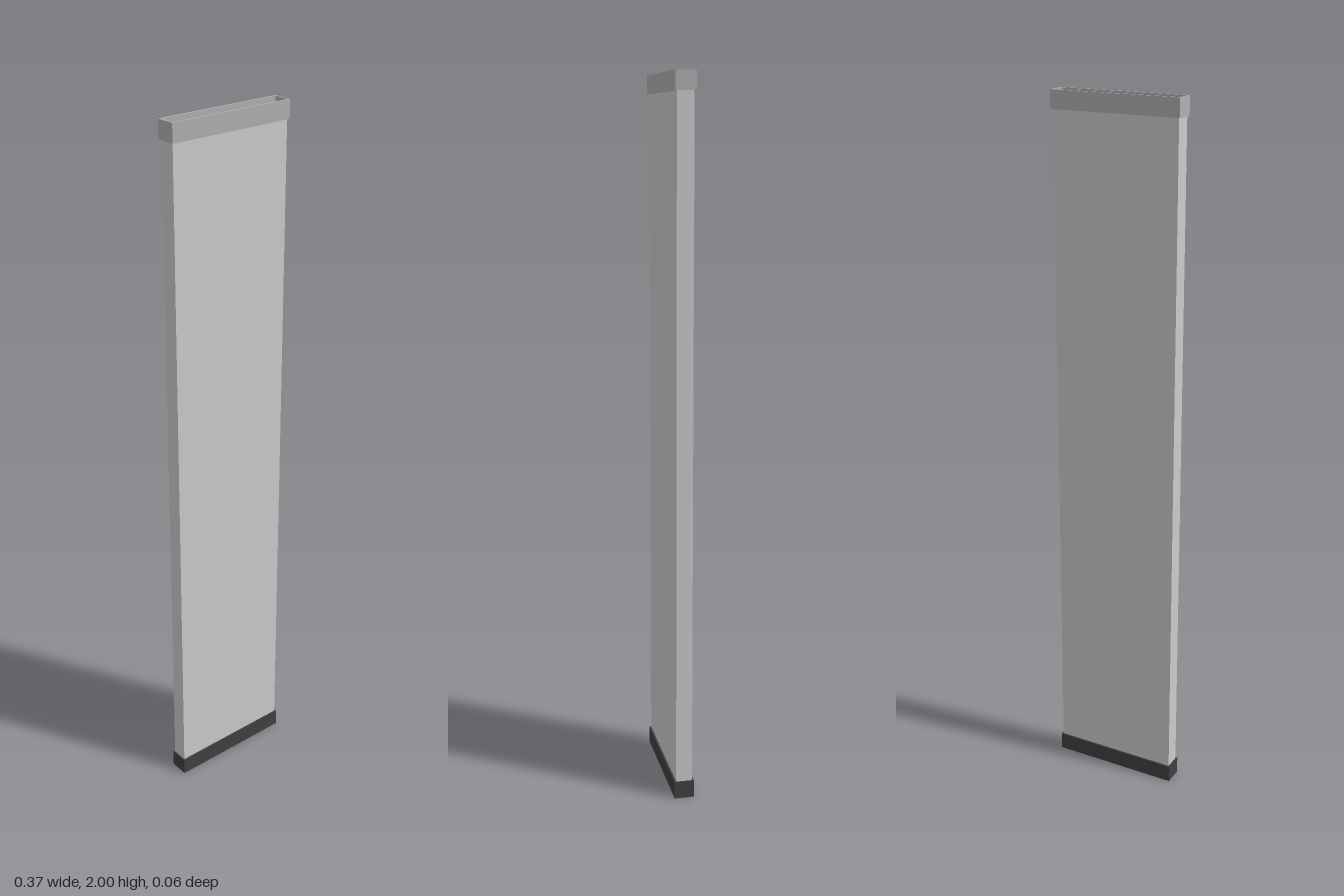
import * as THREE from 'three';

const HEIGHT = 2, BAND = 0.05;
const OUTER = { x: 0.187, z: 0.028 };
const INNER = { x: 0.183, z: 0.023 };

// Traces a rectangle with half sizes x and z on a shape or hole path
function rectangle(path, { x, z }) {
  path.moveTo(-x, -z);
  path.lineTo(x, -z);
  path.lineTo(x, z);
  path.lineTo(-x, z);
  path.closePath();
  return path;
}

// Rectangular collar, open through the middle
function collar(name, color, y) {
  const shape = rectangle(new THREE.Shape(), OUTER);
  shape.holes.push(rectangle(new THREE.Path(), INNER));
  const geometry = new THREE.ExtrudeGeometry(shape, { depth: BAND, bevelEnabled: false });
  geometry.rotateX(-Math.PI / 2);
  const mesh = new THREE.Mesh(geometry, new THREE.MeshStandardMaterial({ color }));
  mesh.name = name;
  mesh.position.y = y;
  return mesh;
}

export function createModel() {
  const group = new THREE.Group();
  group.name = 'flatSleeve';

  // Thin four-sided tube, open at both ends
  const tube = new THREE.CylinderGeometry(Math.SQRT2, Math.SQRT2, HEIGHT - 2 * BAND, 4, 1, true, Math.PI / 4)
    .toNonIndexed();
  tube.scale(INNER.x, 1, INNER.z);
  tube.computeVertexNormals();
  const body = new THREE.Mesh(tube, new THREE.MeshStandardMaterial({
    color: 0xcccccc, flatShading: true, side: THREE.DoubleSide,
  }));
  body.name = 'body';
  body.position.y = HEIGHT / 2;

  // Collars around the two ends
  group.add(body, collar('bottomCollar', 0x404040, 0), collar('topCollar', 0xb0b0b0, HEIGHT - BAND));
  return group;
}
